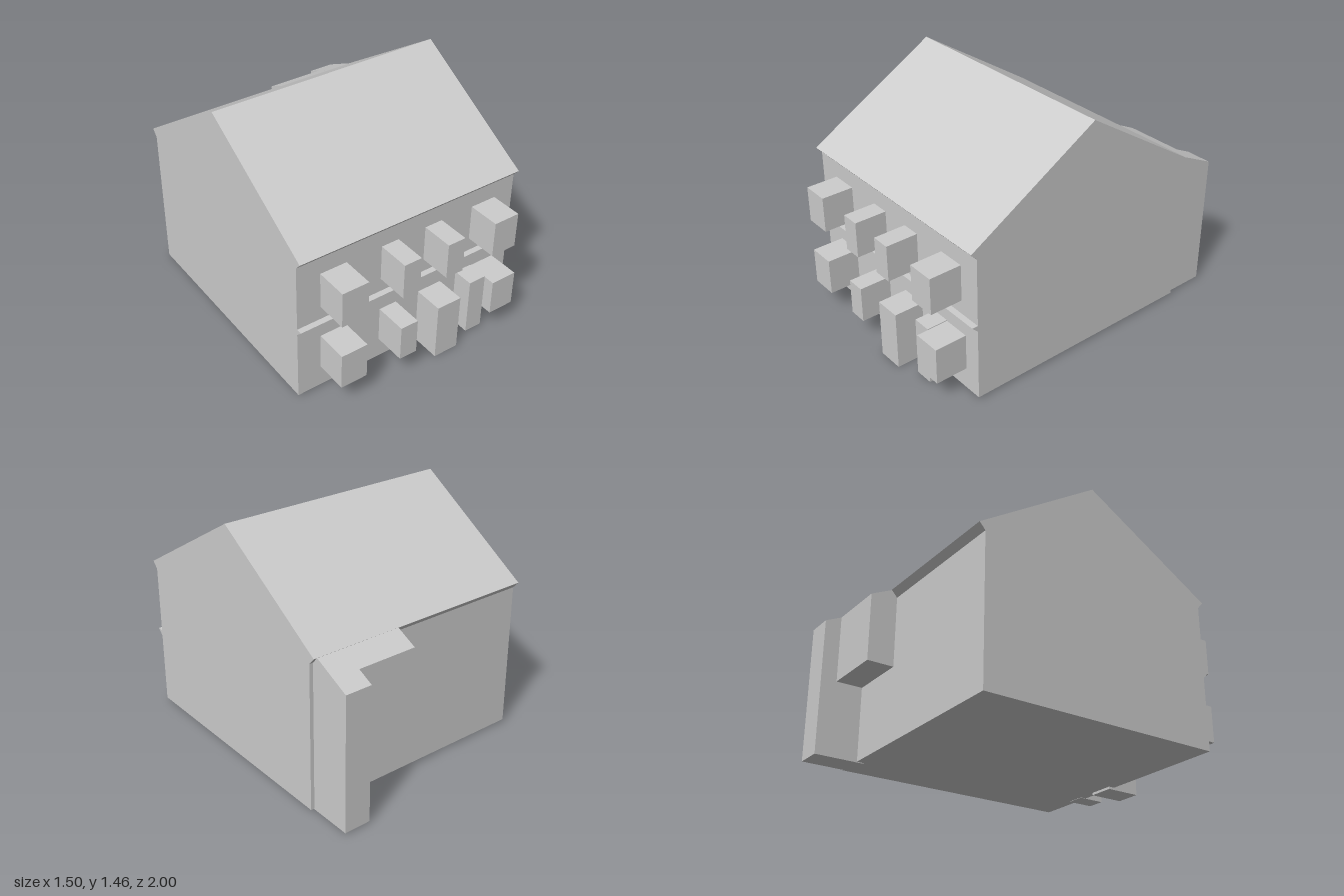
import * as THREE from 'three';

export function createModel() {
  const house = new THREE.Group();
  house.name = 'house';
  const grey = new THREE.MeshStandardMaterial({ color: 0xcccccc });
  grey.name = 'plain grey';

  // Extrudes a side profile of [z, y] points from x0 to x1
  function prism(name, profile, x0, x1) {
    const shape = new THREE.Shape(profile.map(([z, y]) => new THREE.Vector2(z, y)));
    const geometry = new THREE.ExtrudeGeometry(shape, { depth: x1 - x0, bevelEnabled: false });
    geometry.rotateY(-Math.PI / 2).translate(x1, 0, 0);
    const mesh = new THREE.Mesh(geometry, grey);
    mesh.name = name;
    house.add(mesh);
  }

  // Box given by its limits
  function block(name, x0, x1, y0, y1, z0, z1) {
    const mesh = new THREE.Mesh(new THREE.BoxGeometry(x1 - x0, y1 - y0, z1 - z0), grey);
    mesh.position.set((x0 + x1) / 2, (y0 + y1) / 2, (z0 + z1) / 2);
    mesh.name = name;
    house.add(mesh);
  }

  // Walls, gable roof and slanted eaves
  prism('body', [
    [0.8, 0.015], [0.8, 0.92], [0.837, 0.962], [0.005, 1.455],
    [-0.77, 0.962], [-0.733, 0.92], [-0.733, 0.015],
  ], -0.75, 0.75);

  // Ledge between the storeys
  prism('ledge', [[0.78, 0.465], [0.8, 0.465], [0.837, 0.503], [0.78, 0.503]], -0.75, 0.75);

  // Rear additions under a shallower roof
  prism('rearTower', [[-0.69, 0.01], [-0.69, 0.997], [-0.77, 0.96], [-1, 0.85], [-1, 0.01]], 0.56, 0.727);
  prism('rearBay', [[-0.69, 0.477], [-0.69, 0.997], [-0.77, 0.96], [-0.9, 0.897], [-0.9, 0.477]], 0.18, 0.56);

  // Window bays: x range, y range
  [
    [-0.6, -0.43, 0.59, 0.815], [-0.197, -0.082, 0.59, 0.815],
    [0.105, 0.222, 0.59, 0.815], [0.443, 0.613, 0.59, 0.815],
    [-0.6, -0.43, 0.152, 0.38], [-0.197, -0.082, 0.145, 0.37],
    [0.474, 0.643, 0.15, 0.375],
  ].forEach(([x0, x1, y0, y1]) => block('windowBay', x0, x1, y0, y1, 0.77, 1));

  // Doors
  block('frontDoor', 0.08, 0.243, 0, 0.365, 0.76, 0.983);
  block('sideDoor', 0.36, 0.474, 0.013, 0.38, 0.76, 0.93);

  return house;
}
